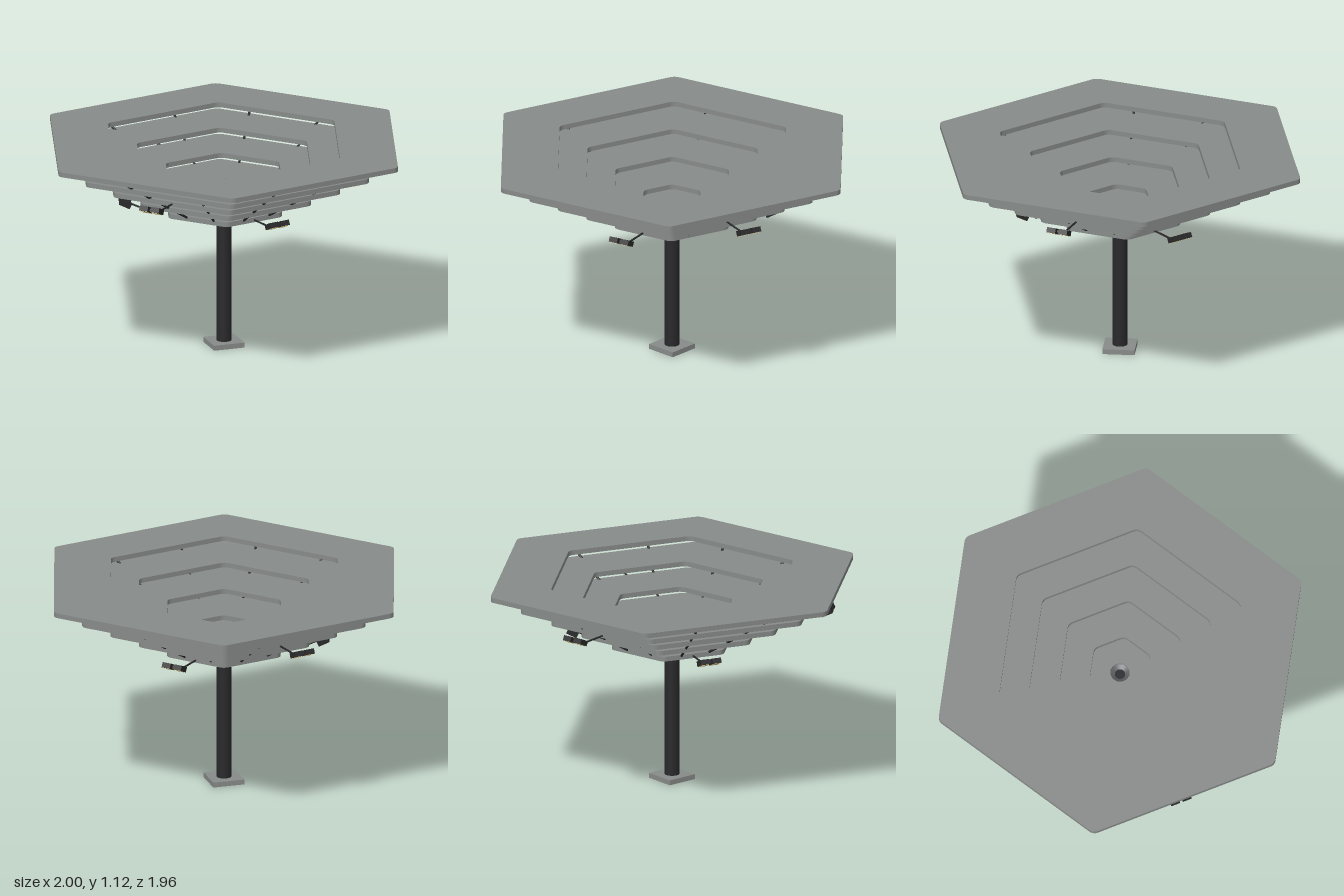
import * as THREE from 'three';

const rad = THREE.MathUtils.degToRad;
const TURN = 12.6; // turn of the hexagons about the column
const THICK = 0.026;

const panelGrey = new THREE.MeshStandardMaterial({ color: 0x878b89 });
panelGrey.name = 'panel grey';
const darkMetal = new THREE.MeshStandardMaterial({ color: 0x29292b });
darkMetal.name = 'dark metal';
const collarGrey = new THREE.MeshStandardMaterial({ color: 0x5c6062 });
collarGrey.name = 'collar grey';
const lampYellow = new THREE.MeshStandardMaterial({ color: 0xf0d890 });
lampYellow.name = 'lamp yellow';

function add(parent, name, geometry, material) {
  const mesh = new THREE.Mesh(geometry, material);
  mesh.name = name;
  parent.add(mesh);
  return mesh;
}

// Hexagon with rounded corners; R is the distance to the sharp corner
function hexagon(path, R, r = 0.045) {
  const c = R - r / Math.cos(rad(30));
  for (let k = 0; k < 6; k++) {
    const a = TURN + 60 * k;
    path.absarc(c * Math.cos(rad(a)), c * Math.sin(rad(a)), r, rad(a - 30), rad(a + 30), false);
  }
  path.closePath();
  return path;
}

// Straight round bar between two points
function bar(parent, name, a, b, radius) {
  const dir = b.clone().sub(a);
  const mesh = add(parent, name, new THREE.CylinderGeometry(radius, radius, dir.length(), 8), darkMetal);
  mesh.position.copy(a).add(b).multiplyScalar(0.5);
  mesh.quaternion.setFromUnitVectors(new THREE.Vector3(0, 1, 0), dir.normalize());
  return mesh;
}

// Upright extrusion, flat on y
function slab(shape, y, height) {
  const g = new THREE.ExtrudeGeometry(shape, { depth: height, bevelEnabled: false, curveSegments: 6 });
  return g.rotateX(-Math.PI / 2).translate(0, y, 0);
}

// Pair of floodlights on a bent arm, pointing outward along local +x
function floodlight(parent, angle, start, r, y) {
  const g = new THREE.Group();
  g.name = 'floodlight';
  g.rotation.y = -rad(angle);
  parent.add(g);
  const bend = new THREE.Vector3(r - 0.075, y, 0);
  bar(g, 'lightArm', new THREE.Vector3(start, y, 0), bend, 0.005);
  bar(g, 'lightArmTip', bend, new THREE.Vector3(r - 0.01, y + 0.028, 0), 0.005);
  const head = new THREE.Group();
  head.name = 'lightHead';
  head.position.set(r, y + 0.031, 0);
  head.rotation.z = rad(25);
  g.add(head);
  add(head, 'crossbar', new THREE.BoxGeometry(0.012, 0.012, 0.07), darkMetal);
  for (const s of [-1, 1]) {
    add(head, 'lampHousing', new THREE.BoxGeometry(0.06, 0.028, 0.05), darkMetal).position.z = s * 0.033;
    add(head, 'lampLens', new THREE.BoxGeometry(0.048, 0.003, 0.04), lampYellow).position.set(0, -0.0145, s * 0.033);
  }
}

export function createModel() {
  const model = new THREE.Group();
  model.name = 'canopy';

  // Stepped hexagonal rings, each overlapping the one below
  for (let i = 0; i < 5; i++) {
    const shape = hexagon(new THREE.Shape(), 1.03 - 0.1714 * i);
    const hole = new THREE.Path();
    if (i < 4) hexagon(hole, 0.687 - 0.1714 * i);
    else hole.absarc(0, 0, 0.052, 0, Math.PI * 2, false);
    shape.holes.push(hole);
    const g = slab(shape, 1.094 - 0.0858 * i, THICK);
    // Dark underside, grey top and edges
    const [caps, sides] = g.groups.map((q) => ({ ...q }));
    g.clearGroups();
    g.addGroup(0, caps.count / 2, 1);
    g.addGroup(caps.count / 2, caps.count / 2, 0);
    g.addGroup(sides.start, sides.count, 0);
    add(model, 'canopyRing', g, [panelGrey, darkMetal]);
  }

  // Sloping struts under the rings
  for (let k = 0; k < 12; k++) {
    const c = Math.cos(rad(30 * k)), s = Math.sin(rad(30 * k));
    bar(model, 'strut', new THREE.Vector3(0.28 * c, 0.757, 0.28 * s),
      new THREE.Vector3(0.86 * c, 1.1, 0.86 * s), 0.0065);
  }

  // Column with a flared head
  const side = [[0.04, 0], [0.04, 0.692]];
  const flare = [[0.04, 0.692], [0.085, 0.722]];
  const rim = [[0.085, 0.722], [0.085, 0.751]];
  const parts = { columnShaft: side, columnFlare: flare, columnRim: rim, columnBore: [[0.027, 0.74], [0.027, 0]] };
  for (const [name, points] of Object.entries(parts)) {
    add(model, name, new THREE.LatheGeometry(points.map((p) => new THREE.Vector2(...p)), 32), darkMetal);
  }
  const foot = add(model, 'columnFoot', new THREE.RingGeometry(0.027, 0.04, 32), darkMetal);
  foot.rotation.x = Math.PI / 2;
  foot.position.y = 0.001;

  // Drain collar at the centre of the lowest ring
  add(model, 'drainCollar', new THREE.LatheGeometry(
    [new THREE.Vector2(0.027, 0.752), new THREE.Vector2(0.052, 0.764)].reverse(), 32), collarGrey);
  const drain = add(model, 'drain', new THREE.CircleGeometry(0.028, 32), darkMetal);
  drain.rotation.x = -Math.PI / 2;
  drain.position.y = 0.752;

  // Square base plate, open below the column
  const base = new THREE.Shape([[-1, -1], [1, -1], [1, 1], [-1, 1]].map(([x, y]) => new THREE.Vector2(x * 0.085, y * 0.085)));
  const bore = new THREE.Path();
  bore.absarc(0, 0, 0.038, 0, Math.PI * 2, false);
  base.holes.push(bore);
  add(model, 'basePlate', slab(base, 0, 0.027), panelGrey);

  // Floodlights in two tiers
  for (let k = 0; k < 3; k++) {
    floodlight(model, 17.4 + 120 * k, 0.56, 0.825, 0.935);
    floodlight(model, 77.4 + 120 * k, 0.27, 0.52, 0.763);
  }
  return model;
}
